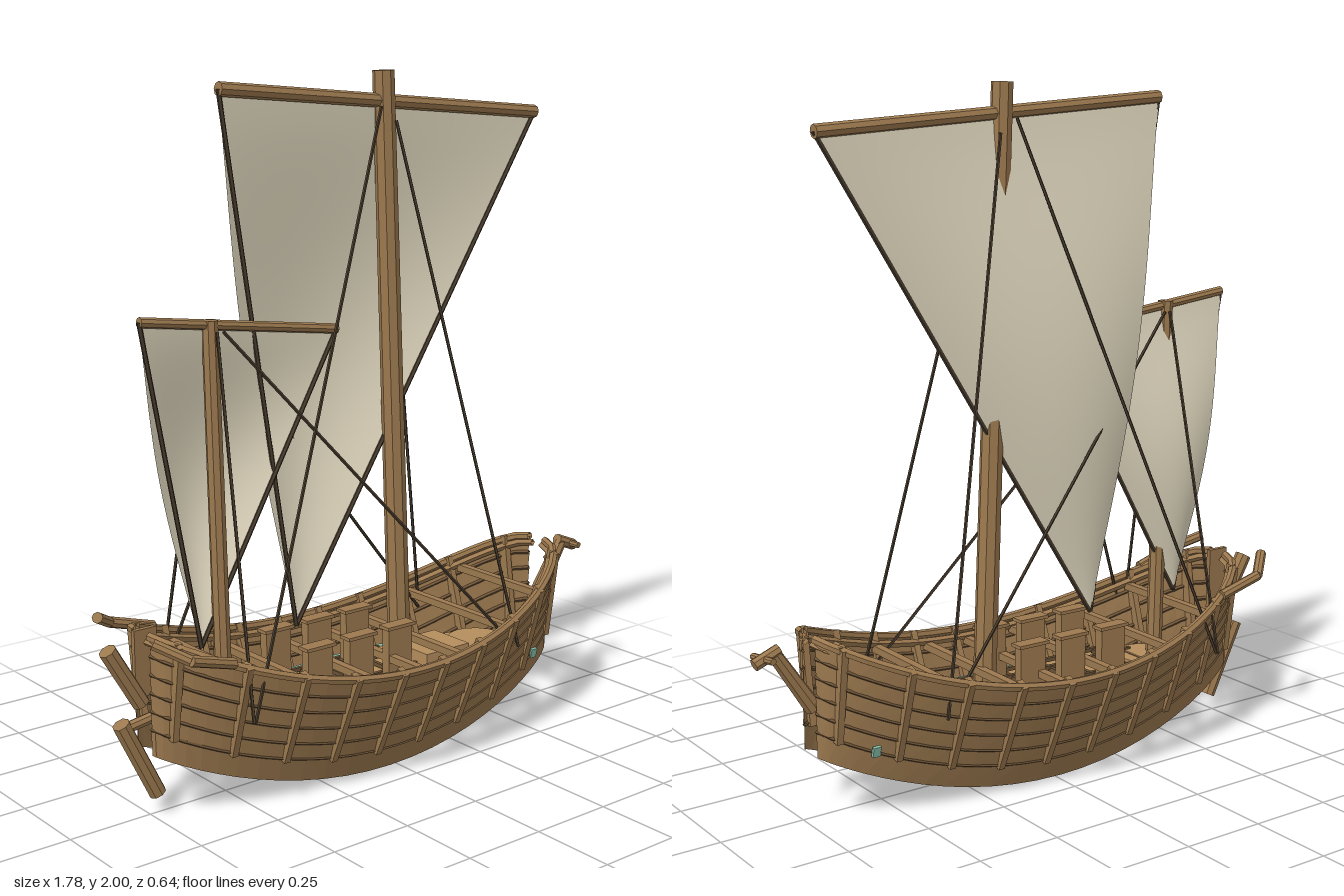
import * as THREE from 'three';

const mat = (name, color, flatShading = true) =>
  new THREE.MeshStandardMaterial({ name, color, flatShading, side: THREE.DoubleSide });
const M = {
  wood: mat('wood', 0x9c794f),
  hull: mat('hullWood', 0x98764d),
  dark: mat('darkWood', 0x6b5236),
  deck: mat('deckWood', 0xb48d5c),
  sail: mat('canvas', 0xe2d9c0, false),
  rope: mat('rope', 0x463a2c),
  teal: mat('tealPaint', 0x86c0aa),
  red: mat('redPaint', 0x8a3e40),
  blue: mat('bluePaint', 0x4b809a),
};
const V = (x, y, z) => new THREE.Vector3(x, y, z);

function add(parent, name, geo, material) {
  const m = new THREE.Mesh(geo, material);
  m.name = name;
  parent.add(m);
  return m;
}

// Grid surface from a rule f(s, t) with s and t in 0..1
function surface(f, ns, nt) {
  const pos = [], idx = [];
  for (let i = 0; i <= ns; i++)
    for (let j = 0; j <= nt; j++) pos.push(...f(i / ns, j / nt).toArray());
  for (let i = 0; i < ns; i++)
    for (let j = 0; j < nt; j++) {
      const a = i * (nt + 1) + j, b = a + nt + 1;
      idx.push(a, b, a + 1, b, b + 1, a + 1);
    }
  const g = new THREE.BufferGeometry();
  g.setAttribute('position', new THREE.Float32BufferAttribute(pos, 3));
  g.setIndex(idx);
  g.computeVertexNormals();
  return g;
}

// Square beam between two points
function beam(parent, name, a, b, w, h, material) {
  const m = add(parent, name, new THREE.BoxGeometry(w, h, a.distanceTo(b)), material);
  m.position.copy(a).lerp(b, 0.5);
  m.lookAt(b);
  return m;
}

// Round pole between two points
function pole(parent, name, a, b, r0, r1, material, sides = 8) {
  const m = add(parent, name, new THREE.CylinderGeometry(r1, r0, a.distanceTo(b), sides), material);
  m.position.copy(a).lerp(b, 0.5);
  m.quaternion.setFromUnitVectors(V(0, 1, 0), b.clone().sub(a).normalize());
  return m;
}

// Tube along a smooth path
function tube(parent, name, pts, r, material, sides = 4, segs = 32) {
  return add(parent, name, new THREE.TubeGeometry(new THREE.CatmullRomCurve3(pts), segs, r, sides), material);
}

// Point on a flared hull side: u -1..1 stern to bow, v 0..1 keel edge to rim
function hullPoint(u, v, side, out = 0) {
  const full = Math.pow(Math.max(0, 1 - u * u), 0.54);
  const z = THREE.MathUtils.lerp(0.03 + 0.12 * full, 0.033 + 0.269 * full, v) + out;
  const y = THREE.MathUtils.lerp(0.005 + 0.185 * u * u, 0.34 + 0.185 * u * u, v);
  return V(-0.02 + 0.74 * u, y - out * 0.4, side * z);
}
// Rows of points along the hull, closer together at the ends
const hullLine = (v, side, out, n = 24) =>
  Array.from({ length: n + 1 }, (_, i) => hullPoint(-Math.cos((Math.PI * i) / n), v, side, out));
const rimAt = x => hullPoint((x + 0.02) / 0.74, 1, 1);

function hullSide(side) {
  const g = new THREE.Group();
  g.name = side > 0 ? 'leftHullSide' : 'rightHullSide';
  // Bottom plank, then lapped strakes
  const edges = [0, 0.22, 0.376, 0.532, 0.688, 0.844, 1];
  for (let k = 0; k < 6; k++) {
    const [v0, v1] = [edges[k], edges[k + 1]];
    add(g, 'strake', surface((s, t) =>
      hullPoint(-Math.cos(Math.PI * s), v0 + (v1 - v0) * t, side, 0.006 * (1 - t)), 28, 1), M.hull);
    if (k) tube(g, 'stringer', hullLine(v0, side, 0.003), 0.0065, M.dark);
  }
  tube(g, 'gunwale', hullLine(1, side, 0), 0.013, M.wood, 6);
  tube(g, 'innerWale', hullLine(0.93, side, -0.014), 0.011, M.wood);
  // Ribs inside and outside
  for (let i = 0; i < 10; i++) {
    const u = -0.945 + i * 0.21;
    beam(g, 'outerRib', hullPoint(u, 0.2, side, 0.006), hullPoint(u, 1.02, side, 0.006), 0.02, 0.02, M.wood);
    beam(g, 'innerRib', hullPoint(u, 0.2, side, -0.008), hullPoint(u, 1.03, side, -0.008), 0.02, 0.02, M.wood);
  }
  // Painted mark near the bow
  beam(g, 'bowMark', hullPoint(0.82, 0.19, side, 0.01), hullPoint(0.82, 0.28, side, 0.01), 0.024, 0.009, M.teal);
  // Angled stern rail
  const rail = [V(-0.6, 0.46, side * 0.2), V(-0.74, 0.5, side * 0.205), V(-0.815, 0.545, side * 0.14)];
  pole(g, 'sternRail', rail[0], rail[1], 0.016, 0.016, M.wood);
  pole(g, 'sternRail', rail[1], rail[2], 0.016, 0.016, M.wood);
  return g;
}

// Painted inner hull under the deck
function innerHull() {
  const g = new THREE.Group();
  g.name = 'innerHull';
  const rim = 0.235, x0 = -0.56, x1 = 0.57;
  const point = (s, a) => {
    const x = x0 + (x1 - x0) * s, u = x / 0.64;
    const depth = 0.17 * (1 - 0.42 * u * u);
    return V(x, rim - depth * Math.sin(a), 0.17 * Math.sqrt(1 - u * u) * Math.cos(a));
  };
  const band = (name, a0, a1, m, s0 = 0, s1 = 1) =>
    add(g, name, surface((s, t) => point(s0 + (s1 - s0) * s, a0 + (a1 - a0) * t), 20, 6), m);
  const c = 0.45;
  band('bottom', c, Math.PI - c, M.red, 0.1, 0.94);
  band('sternBottom', c, Math.PI - c, M.blue, 0, 0.1);
  band('bowBottom', c, Math.PI - c, M.teal, 0.94, 1);
  band('upperBand', 0, c, M.teal);
  band('upperBand', Math.PI - c, Math.PI, M.teal);
  for (const [s, m] of [[0, M.blue], [1, M.teal]])
    add(g, 'endCap', surface((r, t) => point(s, t * Math.PI).lerp(V(s ? x1 : x0, rim, 0), r), 1, 10), m);
  add(g, 'deck', surface((s, t) => point(s, 0).lerp(point(s, Math.PI), t).setY(rim), 24, 1), M.deck);
  tube(g, 'keel', Array.from({ length: 13 }, (_, i) => point(i / 12, Math.PI / 2)), 0.014, M.wood);
  for (const a of [0, Math.PI])
    tube(g, 'deckEdge', Array.from({ length: 9 }, (_, i) => point(0.15 + i * 0.0875, a)), 0.006, M.teal);
  return g;
}

function deckFittings() {
  const g = new THREE.Group();
  g.name = 'deckFittings';
  // Cross beams from side to side
  for (const x of [-0.55, -0.36, -0.15, 0.02, 0.17, 0.37, 0.55]) {
    const p = rimAt(x), z = p.z - 0.02, y = p.y - 0.03;
    beam(g, 'crossBeam', V(x, y, -z), V(x, y, z), 0.024, 0.022, M.wood);
  }
  // Upright capped boards along both sides of the deck
  for (const x of [-0.245, -0.095, 0.05])
    for (const z of [-0.1, 0.1]) {
      add(g, 'board', new THREE.BoxGeometry(0.088, 0.165, 0.03), M.wood).position.set(x, 0.318, z);
      add(g, 'boardCap', new THREE.BoxGeometry(0.104, 0.01, 0.044), M.wood).position.set(x, 0.404, z);
    }
  // Deck grating
  for (let i = 0; i < 9; i++) {
    const x = -0.42 + i * 0.07;
    beam(g, 'gratingBar', V(x, 0.245, -0.12), V(x, 0.245, 0.12), 0.012, 0.012, M.dark);
  }
  for (const z of [-0.12, -0.06, 0.06, 0.12])
    beam(g, 'gratingRail', V(-0.45, 0.25, z), V(0.16, 0.25, z), 0.012, 0.012, M.dark);
  // Hatch and low end platforms
  add(g, 'hatch', new THREE.BoxGeometry(0.17, 0.04, 0.16), M.deck).position.set(0.27, 0.255, 0);
  for (const x of [0.46, -0.46])
    add(g, 'endPlatform', new THREE.CylinderGeometry(0.09, 0.09, 0.016, 16), M.deck).position.set(x, 0.242, 0);
  return g;
}

function endPosts() {
  const g = new THREE.Group();
  g.name = 'endPosts';
  // Bow post with a small cross head
  pole(g, 'bowPost', V(0.71, 0.32, 0), V(0.825, 0.495, 0), 0.025, 0.02, M.wood);
  pole(g, 'bowHead', V(0.81, 0.505, 0), V(0.885, 0.475, 0), 0.018, 0.018, M.wood);
  pole(g, 'bowCross', V(0.85, 0.49, -0.045), V(0.865, 0.485, 0.045), 0.01, 0.01, M.wood);
  // Stern post, bracket and rudder
  pole(g, 'sternPost', V(-0.87, 0.5, 0), V(-0.77, 0.33, 0), 0.025, 0.025, M.wood);
  pole(g, 'rudderBracket', V(-0.82, 0.27, 0), V(-0.72, 0.285, 0), 0.016, 0.016, M.wood);
  pole(g, 'rudder', V(-0.835, 0.285, 0), V(-0.725, 0.06, 0), 0.025, 0.025, M.wood);
  beam(g, 'transom', V(-0.755, 0.35, 0), V(-0.755, 0.54, 0), 0.07, 0.015, M.hull);
  return g;
}

// Mast, yard and three-cornered sail that bulges towards its after edge
function rig(name, foot, head, r, yardA, yardB, tack, bulge) {
  const g = new THREE.Group();
  g.name = name;
  pole(g, 'mast', foot, head, r * 1.05, r * 0.95, M.wood);
  pole(g, 'yard', yardA, yardB, r * 0.6, r * 0.6, M.wood);
  add(g, 'sail', surface((s, t) => {
    const q = yardA.clone().lerp(yardB, s).lerp(tack, t);
    const curve = Math.pow(Math.max(0, Math.sin(Math.PI * t)), 1.35);
    q.z -= bulge * curve * Math.sin(Math.PI * (0.25 + 0.75 * s)) + 0.004;
    return q;
  }, 20, 24), M.sail);
  for (const corner of [yardA, yardB]) pole(g, 'edgeRope', corner, tack, 0.007, 0.007, M.rope, 5);
  return g;
}

export function createModel() {
  const ship = new THREE.Group();
  ship.name = 'sailingShip';
  ship.add(hullSide(1), hullSide(-1), innerHull(), deckFittings(), endPosts());
  ship.add(rig('mainRig', V(0.145, 0.23, 0), V(0.075, 1.999, 0), 0.033,
    V(-0.485, 1.955, 0), V(0.668, 1.872, 0), V(-0.23, 0.43, -0.02), 0.082));
  ship.add(rig('mizzenRig', V(-0.498, 0.23, 0), V(-0.525, 1.35, 0), 0.024,
    V(-0.745, 1.365, 0), V(-0.095, 1.285, 0), V(-0.565, 0.44, -0.01), 0.07));
  // Stays from the mastheads to the sides
  for (const side of [1, -1]) {
    const stay = (a, b) => pole(ship, 'stay', a.setZ(side * 0.028), b, 0.005, 0.005, M.rope, 5);
    stay(V(0.1, 1.86, 0), V(0.42, 0.29, side * 0.23));
    stay(V(0.045, 1.9, 0), V(-0.555, 0.29, side * 0.23));
    stay(V(-0.5, 1.32, 0), V(0.4, 0.31, side * 0.21));
    stay(V(-0.52, 1.32, 0), V(-0.56, 0.29, side * 0.23));
  }
  return ship;
}
